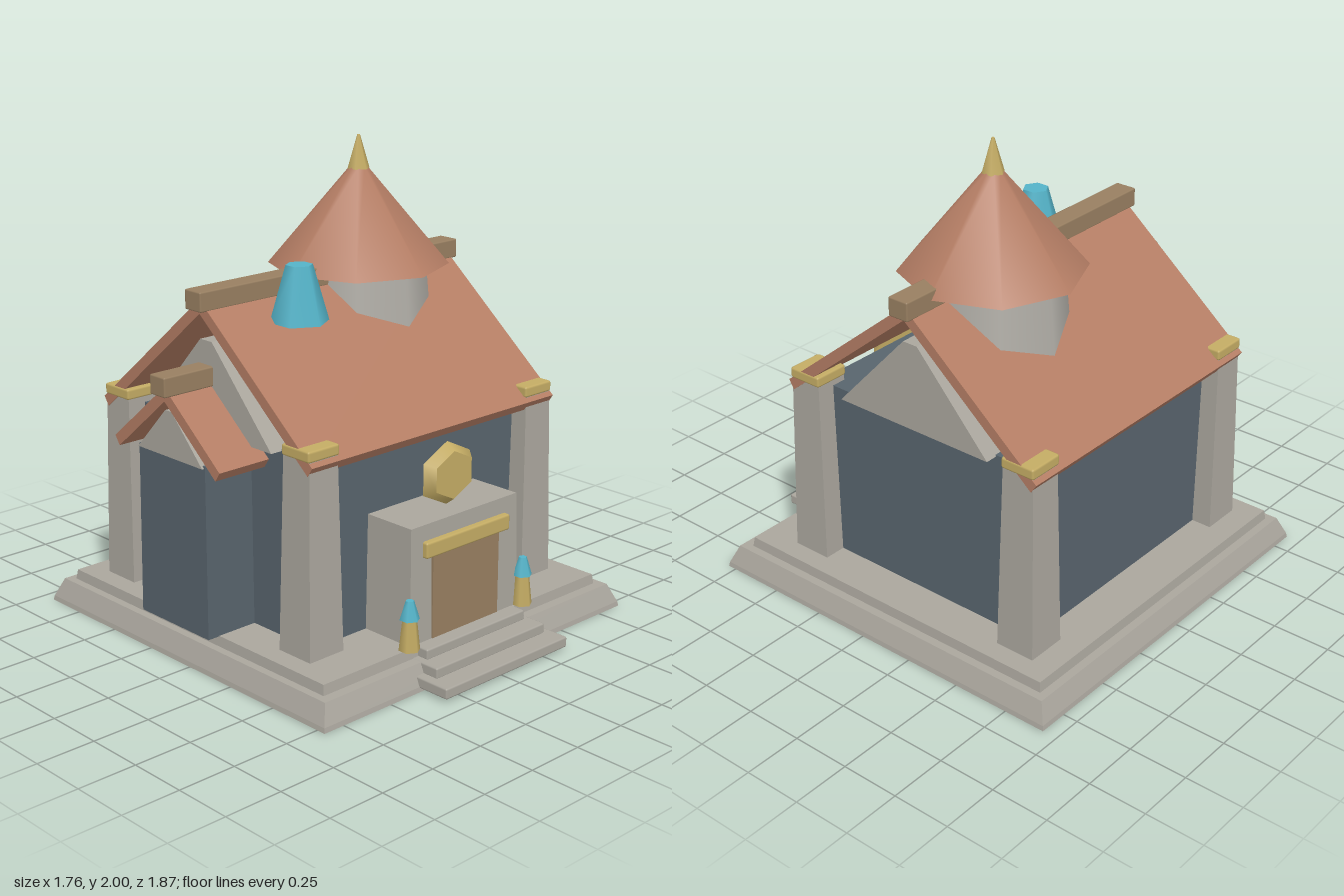
import * as THREE from 'three';
import { RoundedBoxGeometry } from 'three/addons/geometries/RoundedBoxGeometry.js';

const mat = (name, color) => {
  const m = new THREE.MeshStandardMaterial({ color });
  m.name = name;
  return m;
};

export function createModel() {
  const stone = mat('stone', 0xaaa69d);
  const paleStone = mat('pale stone', 0xb2afa8);
  const slate = mat('slate wall', 0x58646d);
  const tile = mat('terracotta tile', 0xb47d64);
  const wood = mat('wood', 0x987f61);
  const gold = mat('gold', 0xc4ac64);
  const teal = mat('teal crystal', 0x54b3c8);

  const root = new THREE.Group();
  root.name = 'house';
  const CX = 0.014, CZ = -0.108; // centre of the house body

  const add = (name, geometry, material, x = 0, y = 0, z = 0) => {
    const mesh = new THREE.Mesh(geometry, material);
    mesh.name = name;
    mesh.position.set(x, y, z);
    root.add(mesh);
    return mesh;
  };

  // Box given by its limits, with an optional small chamfer
  const block = (name, material, [x0, x1], [y0, y1], [z0, z1], r = 0) => {
    const s = [x1 - x0, y1 - y0, z1 - z0];
    const g = r ? new RoundedBoxGeometry(...s, 1, r) : new THREE.BoxGeometry(...s);
    return add(name, g, material, (x0 + x1) / 2, (y0 + y1) / 2, (z0 + z1) / 2);
  };

  // Box whose top is inset by a fixed amount on every side
  const taper = (name, material, x, z, hx, hz, y0, y1, inset) => {
    const g = new THREE.BoxGeometry(2 * hx, y1 - y0, 2 * hz);
    const p = g.attributes.position;
    for (let i = 0; i < p.count; i++) {
      if (p.getY(i) <= 0) continue;
      p.setX(i, p.getX(i) - Math.sign(p.getX(i)) * inset);
      p.setZ(i, p.getZ(i) - Math.sign(p.getZ(i)) * inset);
    }
    g.computeVertexNormals();
    return add(name, g, material, x, (y0 + y1) / 2, z);
  };

  // Outline in (z, y) pushed along x
  const prism = (name, material, points, x0, x1) => {
    const shape = new THREE.Shape(points.map(([z, y]) => new THREE.Vector2(-z, y)));
    const g = new THREE.ExtrudeGeometry(shape, { depth: x1 - x0, bevelEnabled: false });
    g.rotateY(Math.PI / 2);
    return add(name, g, material, x0, 0, 0);
  };

  // Upright frustum with few sides
  const frustum = (name, material, x, z, y0, y1, r0, r1, sides) =>
    add(name, new THREE.CylinderGeometry(r1, r0, y1 - y0, sides), material, x, (y0 + y1) / 2, z);

  // Two-sided roof shell
  const roof = (name, z, half, ridgeY, eaveY, x0, x1) =>
    prism(name, tile, [
      [z + half, eaveY], [z, ridgeY], [z - half, eaveY],
      [z - half + 0.026, eaveY - 0.038], [z, ridgeY - 0.058], [z + half - 0.026, eaveY - 0.038],
    ], x0, x1);

  const gable = (name, z, half, topHalf, y0, y1, x0, x1) =>
    prism(name, stone, [[z + half, y0], [z + topHalf, y1], [z - topHalf, y1], [z - half, y0]], x0, x1);

  // Stepped platform
  const baseZ = -0.073;
  taper('plinthFoot', stone, 0.015, baseZ, 0.863, 0.863, 0, 0.02, 0.004);
  taper('plinth', stone, 0.015, baseZ, 0.859, 0.859, 0.02, 0.1, 0.034);
  taper('platform', stone, 0.014, -0.077, 0.79, 0.785, 0.1, 0.142, 0.006);

  // Entrance steps
  block('lowerStep', stone, [-0.342, 0.368], [0.014, 0.06], [0.7, 0.93], 0.008);
  block('middleStep', stone, [-0.302, 0.33], [0.055, 0.102], [0.65, 0.84], 0.008);
  block('upperStep', stone, [-0.27, 0.3], [0.097, 0.143], [0.6, 0.757], 0.008);

  // Walls and gables
  block('mainWalls', slate, [CX - 0.6, CX + 0.6], [0.14, 0.92], [CZ - 0.55, CZ + 0.55]);
  gable('mainGable', CZ, 0.38, 0.035, 0.915, 1.29, CX - 0.655, CX + 0.655);
  taper('annexWalls', slate, -0.66, -0.115, 0.165, 0.21, 0.14, 0.86, 0.005);
  gable('annexGable', -0.115, 0.2, 0.02, 0.85, 1.04, -0.83, -0.6);

  // Corner pillars with gold capitals
  for (const sx of [-1, 1]) {
    for (const sz of [-1, 1]) {
      const x = CX + sx * 0.609, z = CZ + sz * 0.552;
      taper('cornerPillar', stone, x, z, 0.088, 0.088, 0.14, 0.945, 0.015);
      block('pillarCapital', gold, [x - 0.08, x + 0.08], [0.943, 0.99], [z - 0.078, z + 0.078], 0.01);
    }
  }

  // Roofs and ridge beams
  roof('mainRoof', CZ, 0.643, 1.46, 0.928, -0.67, 0.7);
  roof('annexRoof', -0.115, 0.326, 1.14, 0.87, -0.848, -0.6);
  block('mainRidgeBeam', wood, [-0.704, 0.732], [1.418, 1.5], [CZ - 0.048, CZ + 0.048], 0.007);
  block('annexRidgeBeam', wood, [-0.882, -0.58], [1.11, 1.192], [-0.161, -0.069], 0.007);

  // Round tower through the roof
  const TX = 0.22, TZ = -0.145;
  frustum('towerDrum', paleStone, TX, TZ, 1.14, 1.475, 0.312, 0.283, 8);
  frustum('towerRoof', tile, TX, TZ, 1.46, 1.87, 0.38, 0.036, 8);
  frustum('towerSpire', gold, TX, TZ, 1.86, 2.0, 0.047, 0.006, 6);

  // Crystal chimney
  frustum('roofCrystal', teal, -0.304, 0.065, 1.34, 1.57, 0.121, 0.055, 6);

  // Porch, door and lintel
  taper('porch', stone, CX, 0.54, 0.313, 0.15, 0.14, 0.627, 0.01);
  block('door', wood, [-0.177, 0.203], [0.142, 0.5], [0.6, 0.693]);
  block('doorLintel', gold, [-0.226, 0.254], [0.492, 0.56], [0.62, 0.707], 0.01);

  // Six-sided medallion above the porch
  const medal = new THREE.CylinderGeometry(0.1, 0.132, 0.042, 6);
  medal.rotateX(Math.PI / 2);
  medal.scale(1.155, 1, 1);
  add('medallion', medal, gold, CX, 0.76, 0.597);

  // Lanterns beside the steps
  for (const sx of [-1, 1]) {
    const x = CX + sx * 0.329, z = 0.702;
    frustum('lanternPost', gold, x, z, 0.142, 0.275, 0.044, 0.029, 6);
    frustum('lanternCrystal', teal, x, z, 0.27, 0.348, 0.041, 0.017, 6);
  }

  return root;
}
